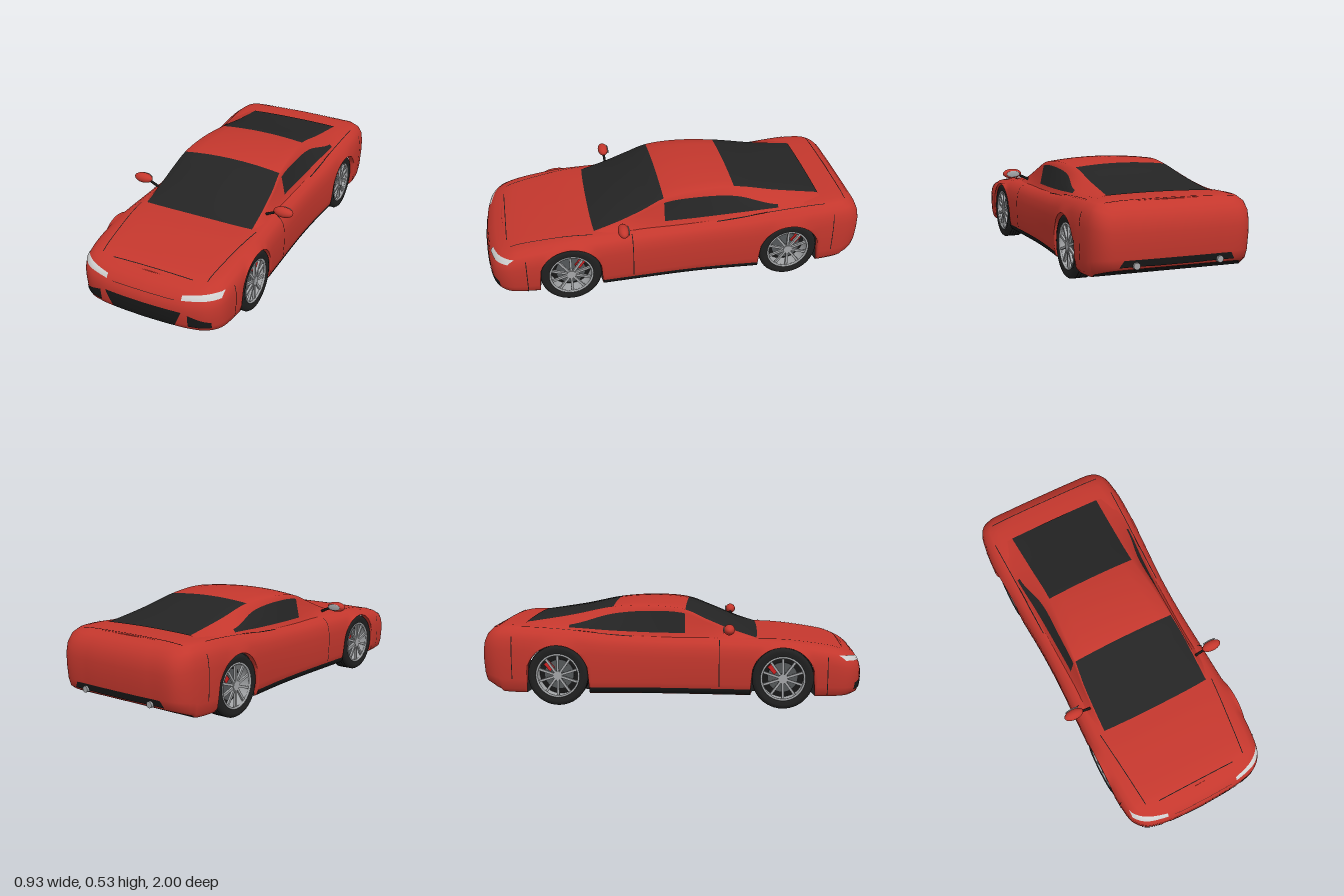
import * as THREE from 'three';

const V = (x, y, z) => new THREE.Vector3(x, y, z);
const mat = (name, color, side = THREE.FrontSide) => {
  const m = new THREE.MeshStandardMaterial({ color, side });
  m.name = name;
  return m;
};

// smooth height profile along z; points run from front to back
function profile(pts) {
  const s = new THREE.SplineCurve(pts.map(p => new THREE.Vector2(p[0], p[1]))).getPoints(240);
  return z => {
    if (z >= s[0].x) return s[0].y;
    for (let i = 1; i < s.length; i++) {
      if (z >= s[i].x) {
        const t = (z - s[i].x) / (s[i - 1].x - s[i].x || 1);
        return s[i].y + t * (s[i - 1].y - s[i].y);
      }
    }
    return s[s.length - 1].y;
  };
}

// surface through neighbouring lines of points, with a material index per cell
function skin(lines, closed, slot = () => 0) {
  const n = lines[0].length, lists = [[], []];
  for (let k = 0; k < lines.length - 1; k++) {
    for (let i = 0; i < (closed ? n : n - 1); i++) {
      const j = (i + 1) % n, a = k * n + i, b = k * n + j, c = b + n, d = a + n;
      lists[slot(k, i)].push(a, b, c, a, c, d);
    }
  }
  const g = new THREE.BufferGeometry().setFromPoints(lines.flat());
  g.setIndex(lists.flat());
  g.addGroup(0, lists[0].length, 0);
  g.addGroup(lists[0].length, lists[1].length, 1);
  g.computeVertexNormals();
  return g;
}

export function createModel() {
  const car = new THREE.Group();
  car.name = 'sportsCar';
  const D = THREE.DoubleSide;
  const red = mat('red paint', 0xc4372d), glass = mat('dark glass', 0x242424, D);
  const black = mat('black trim', 0x181818, D), rubber = mat('tyre rubber', 0x202020, D);
  const silver = mat('alloy silver', 0xa4a6a8, D), grey = mat('brake grey', 0x55585a);
  const lamp = mat('headlamp', 0xcfcfcf, D), brake = mat('caliper red', 0xd02020);
  const add = (name, geo, m, parent = car) => {
    const mesh = new THREE.Mesh(geo, m);
    mesh.name = name;
    parent.add(mesh);
    return mesh;
  };

  // main profiles
  const axles = [0.575, -0.585], wheelY = 0.157, archR = 0.162;
  const deck = profile([[1, 0.235], [0.95, 0.27], [0.9, 0.29], [0.8, 0.317], [0.6, 0.345], [0.45, 0.354], [0.2, 0.36],
    [0, 0.362], [-0.3, 0.375], [-0.5, 0.395], [-0.75, 0.412], [-0.9, 0.41], [-0.96, 0.392], [-1, 0.365]]);
  const bottom = profile([[1, 0.07], [0.8, 0.066], [0, 0.065], [-0.8, 0.066], [-0.9, 0.08], [-1, 0.11]]);
  const arch = z => {
    const d = Math.min(...axles.map(a => Math.abs(z - a)));
    return d < archR ? wheelY + Math.sqrt(archR * archR - d * d) : 0;
  };

  // plan outline, mirrored to a closed loop
  const half = new THREE.CatmullRomCurve3([[0, 0.995], [0.15, 0.99], [0.25, 0.98], [0.33, 0.955], [0.38, 0.9], [0.4, 0.8],
    [0.408, 0.6], [0.4, 0.3], [0.392, 0], [0.395, -0.2], [0.41, -0.45], [0.42, -0.65], [0.418, -0.8], [0.395, -0.93],
    [0.345, -0.983], [0.2, -0.995], [0, -0.997]].map(p => V(p[0], 0, p[1]))).getSpacedPoints(260);
  const plan = half.concat(half.slice(1, -1).reverse().map(p => V(-p.x, 0, p.z)));
  const inset = (p, d) => V(p.x * (1 - d / 0.41), 0,
    p.z - Math.sign(p.z) * d * THREE.MathUtils.smoothstep(Math.abs(p.z), 0.8, 1));

  // body shell: rings of [inset, height share], then the deck closing towards the middle
  const rings = [[0.03, 0], [0.012, 0.06], [0.004, 0.2], [0, 0.45], [0, 0.65], [0.006, 0.8],
    [0.022, 0.91], [0.05, 0.975], [0.09, 1]].map(([d, h]) => plan.map(p => {
    const q = inset(p, d), b = bottom(p.z);
    q.y = Math.max(b + h * (deck(q.z) - b), arch(p.z));
    return q;
  }));
  const rim = rings[rings.length - 1];
  for (const f of [0.75, 0.5, 0.25, 0])
    rings.push(rim.map(p => V(p.x * f, p.y + 0.004 * (1 - f * f), p.z)));
  const body = add('bodyShell', skin(rings, true), red);

  // floor, notched for the wheels
  const edge = plan.map(p => {
    const q = inset(p, 0.03);
    if (arch(p.z)) q.x = Math.sign(q.x) * 0.285;
    q.y = bottom(p.z);
    return q;
  });
  add('floor', skin([edge.map(p => V(0, p.y, p.z)), edge], true), black);

  // cabin stations: z, roof height, glass edge x/y, window top x/y, window bottom x/y
  const stations = [
    [0.46, 0.352, 0.307, 0.348, 0.315, 0.345, 0.33, 0.34],
    [0.3, 0.43, 0.303, 0.4, 0.312, 0.39, 0.325, 0.366],
    [0.18, 0.48, 0.297, 0.448, 0.306, 0.432, 0.32, 0.37],
    [0.07, 0.515, 0.284, 0.494, 0.297, 0.475, 0.318, 0.375],
    [-0.1, 0.53, 0.27, 0.512, 0.295, 0.487, 0.322, 0.378],
    [-0.31, 0.517, 0.25, 0.502, 0.295, 0.47, 0.33, 0.387],
    [-0.53, 0.47, 0.256, 0.458, 0.333, 0.416, 0.346, 0.403],
    [-0.77, 0.425, 0.265, 0.419, 0.3, 0.412, 0.34, 0.404]];
  const steps = 8;
  const sections = stations.map(([z, top, gx, gy, ux, uy, lx, ly]) => {
    const s = [V(lx + 0.03, deck(z) - 0.02, z), V(lx, ly, z), V(ux, uy, z)];
    for (const f of [1, 0.75, 0.5, 0.25, 0]) s.push(V(gx * f, gy + (top - gy) * (1 - f * f), z));
    return s.concat(s.slice(0, -1).reverse().map(p => V(-p.x, p.y, p.z)));
  });
  const columns = sections[0].map((_, j) =>
    new THREE.CatmullRomCurve3(sections.map(s => s[j])).getPoints(steps * (stations.length - 1)));
  add('cabin', skin(columns, false, (k, i) => {
    const s = Math.floor(i / steps);
    const side = (k === 1 || k === 12) && s >= 3 && s <= 5;
    const screen = k >= 3 && k <= 10 && (s < 3 || s === 5 || s === 6);
    return side || screen ? 1 : 0;
  }), [red, glass]);

  // thin plates laid on the body: a flat quad projected along one direction
  body.updateMatrixWorld();
  const ray = new THREE.Raycaster();
  const sides = {
    front: [(u, v) => V(u, v, 2), V(0, 0, -1)], rear: [(u, v) => V(u, v, -2), V(0, 0, 1)],
    left: [(u, v) => V(2, v, u), V(-1, 0, 0)], right: [(u, v) => V(-2, v, u), V(1, 0, 0)],
    top: [(u, v) => V(u, 2, v), V(0, -1, 0)],
  };
  function plate(name, m, side, [a, b, c, d], nu = 12, nv = 3) {
    const [from, dir] = sides[side], lines = [];
    let last = null;
    for (let j = 0; j <= nv; j++) {
      const line = [];
      for (let i = 0; i <= nu; i++) {
        const s = i / nu, t = j / nv;
        const at = n => (a[n] * (1 - s) + b[n] * s) * (1 - t) + (d[n] * (1 - s) + c[n] * s) * t;
        ray.set(from(at(0), at(1)), dir);
        const hit = ray.intersectObject(body)[0];
        if (hit) last = hit.point.clone().addScaledVector(hit.face.normal, 0.003);
        line.push((last || from(at(0), at(1)).addScaledVector(dir, 1.1)).clone());
      }
      lines.push(line);
    }
    add(name, skin(lines, false), m);
  }
  function seam(side, p, q, w = 0.002) {
    const l = Math.hypot(q[0] - p[0], q[1] - p[1]);
    const x = -(q[1] - p[1]) / l * w, y = (q[0] - p[0]) / l * w;
    plate('panelSeam', black, side, [[p[0] - x, p[1] - y], [q[0] - x, q[1] - y], [q[0] + x, q[1] + y], [p[0] + x, p[1] + y]], 16, 1);
  }
  plate('grille', black, 'front', [[-0.17, 0.085], [0.17, 0.085], [0.21, 0.174], [-0.21, 0.174]], 16, 6);
  plate('rearVent', black, 'rear', [[-0.29, 0.125], [0.29, 0.125], [0.27, 0.158], [-0.27, 0.158]], 20, 2);
  seam('top', [-0.22, 0.885], [0.22, 0.885]);
  seam('top', [-0.33, -0.9], [0.33, -0.9]);
  seam('front', [-0.17, 0.226], [0.17, 0.226], 0.001);
  for (const s of [1, -1]) {
    plate('headlamp', lamp, 'front', [[s * 0.205, 0.23], [s * 0.375, 0.25], [s * 0.375, 0.277], [s * 0.205, 0.25]], 20, 4);
    plate('sideIntake', black, 'front', [[s * 0.24, 0.1], [s * 0.345, 0.1], [s * 0.345, 0.133], [s * 0.24, 0.164]], 10, 4);
    seam('top', [s * 0.29, 0.87], [s * 0.335, 0.45]);
    seam('top', [s * 0.365, -0.78], [s * 0.35, -0.2]);
    const flank = s > 0 ? 'left' : 'right';
    plate('sill', black, flank, [[0.41, 0.07], [-0.42, 0.07], [-0.42, 0.1], [0.41, 0.1]], 20, 3);
    seam(flank, [0.25, 0.11], [0.25, 0.345]);
    seam(flank, [0.8, 0.075], [0.8, 0.27]);
    seam(flank, [-0.82, 0.14], [-0.82, 0.36]);

    // door mirror with arm and glass
    const m = new THREE.Group();
    m.name = 'doorMirror';
    m.position.set(s * 0.413, 0.41, 0.3);
    car.add(m);
    add('mirrorHousing', new THREE.SphereGeometry(1, 24, 16).scale(0.053, 0.027, 0.028), red, m);
    add('mirrorGlass', new THREE.SphereGeometry(1, 20, 10).scale(0.038, 0.018, 0.004).translate(0, 0, -0.027), silver, m);
    add('mirrorArm', new THREE.TubeGeometry(new THREE.LineCurve3(V(-s * 0.095, -0.035, 0), V(-s * 0.03, -0.005, 0)), 1, 0.007, 8), black, m);

    // exhaust
    add('exhaustPipe', new THREE.CylinderGeometry(0.016, 0.016, 0.05, 20).rotateX(Math.PI / 2), silver)
      .position.set(s * 0.21, 0.13, -0.975);
  }

  // tyre section with tread grooves, spun about the axle
  const tread = [[0.11, -0.045], [0.135, -0.052], [0.15, -0.048], [0.157, -0.038]];
  for (const g of [-0.024, -0.008, 0.008, 0.024])
    tread.push([0.157, g - 0.003], [0.152, g - 0.002], [0.152, g + 0.002], [0.157, g + 0.003]);
  tread.push([0.157, 0.038], [0.15, 0.048], [0.135, 0.052], [0.11, 0.045]);
  const axial = g => g.rotateZ(-Math.PI / 2);
  const tyre = axial(new THREE.LatheGeometry(tread.map(p => new THREE.Vector2(p[0], p[1])), 48));
  const disc = (r, w, x) => axial(new THREE.CylinderGeometry(r, r, w, 32)).translate(x, 0, 0);

  for (const z of axles) for (const s of [1, -1]) {
    const w = new THREE.Group();
    w.name = 'wheel';
    w.position.set(s * 0.35, wheelY, z);
    if (s < 0) w.rotation.y = Math.PI;
    car.add(w);
    add('tyre', tyre, rubber, w);
    add('rimBarrel', axial(new THREE.CylinderGeometry(0.109, 0.109, 0.085, 40, 1, true)), silver, w);
    add('rimLip', new THREE.TorusGeometry(0.11, 0.006, 8, 40).rotateY(Math.PI / 2).translate(0.043, 0, 0), silver, w);
    add('wheelBack', disc(0.109, 0.01, -0.03), black, w);
    add('brakeDisc', disc(0.078, 0.01, 0), grey, w);
    add('brakeCaliper', new THREE.BoxGeometry(0.022, 0.05, 0.03).rotateX(s * -0.7)
      .translate(0.008, 0.045, -s * 0.05), brake, w);
    add('hub', disc(0.024, 0.02, 0.036), silver, w);
    for (let i = 0; i < 10; i++)
      add('spoke', new THREE.BoxGeometry(0.012, 0.092, 0.012).translate(0.037, 0.064, 0).rotateX(i * Math.PI / 5), silver, w);

    // wheel well
    add('wheelArch', new THREE.CylinderGeometry(0.161, 0.161, 0.08, 32, 1, true, 0, Math.PI)
      .rotateZ(Math.PI / 2).translate(s * 0.32, wheelY, z), black);
    add('wellWall', new THREE.CircleGeometry(0.161, 32, 0, Math.PI).rotateY(Math.PI / 2).translate(s * 0.284, wheelY, z), black);
  }
  return car;
}
